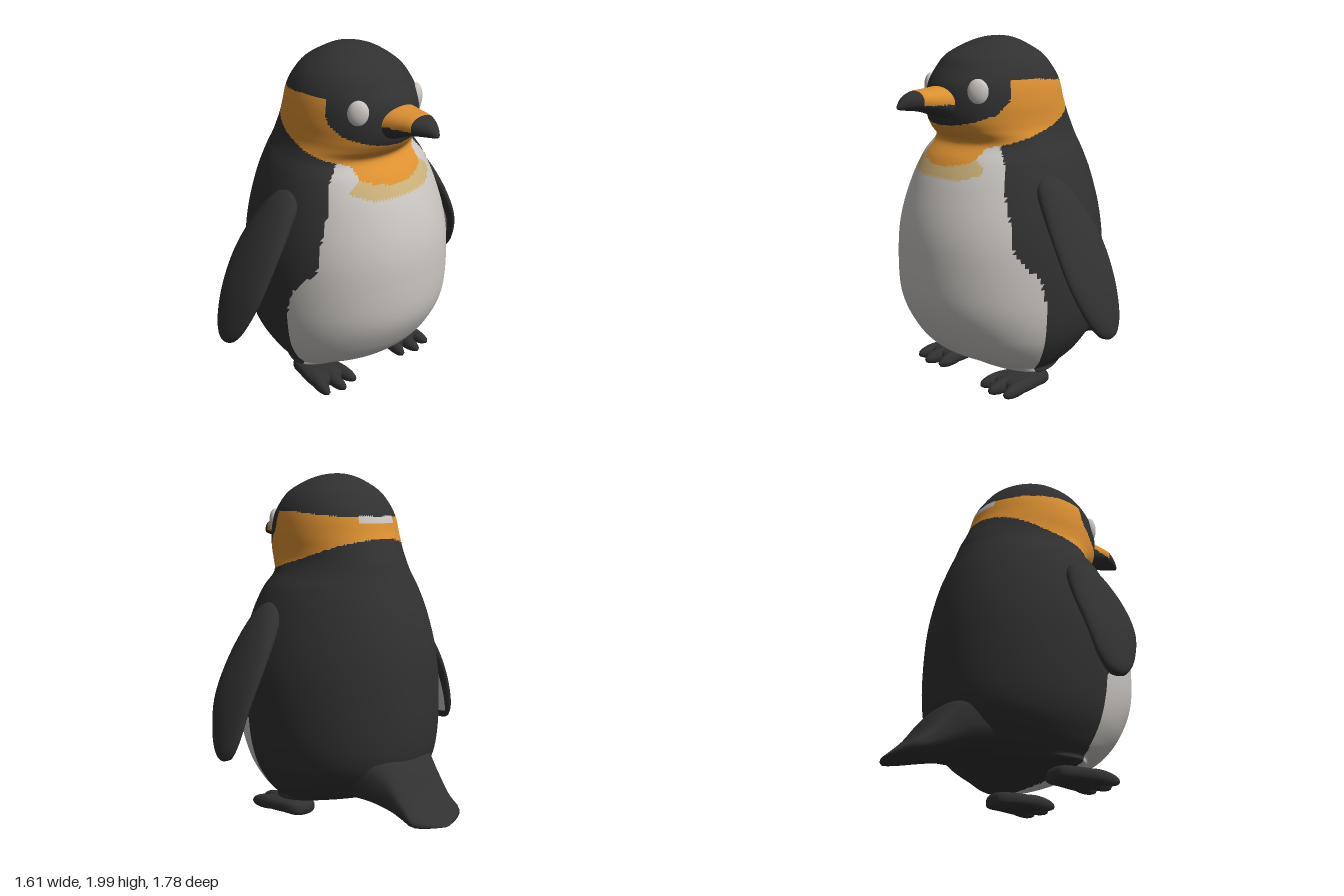
import * as THREE from 'three';

const mat = (name, color) => Object.assign(new THREE.MeshStandardMaterial({ color }), { name });

// Piecewise linear lookup in a short table of [input, output]
function lookup(table, v) {
  if (v <= table[0][0]) return table[0][1];
  for (let i = 1; i < table.length; i++) {
    const [a, p] = table[i - 1], [b, q] = table[i];
    if (v <= b) return p + (q - p) * (v - a) / (b - a);
  }
  return table[table.length - 1][1];
}

// Smoothly resample rows of numbers, `steps` rows between neighbours
function smoothRows(rows, steps) {
  const n = rows[0].length, out = [];
  const curves = Array.from({ length: n }, (_, k) =>
    new THREE.CatmullRomCurve3(rows.map(r => new THREE.Vector3(r[k], 0, 0)), false, 'catmullrom', 0.5));
  const total = (rows.length - 1) * steps;
  for (let i = 0; i <= total; i++) out.push(curves.map(c => c.getPoint(i / total).x));
  return out;
}

// Skin over closed rings; pick(centre, angle) chooses the material of each face
function loft(name, rows, segs, point, materials, pick = () => 0, flip = false) {
  const pos = [], lists = materials.map(() => []);
  rows.forEach((row, j) => {
    for (let i = 0; i < segs; i++) pos.push(...point(row, i / segs * Math.PI * 2, j));
  });
  const at = i => new THREE.Vector3().fromArray(pos, i * 3);
  const face = (a, b, c, angle) => {
    const centre = at(a).add(at(b)).add(at(c)).divideScalar(3);
    lists[pick(centre, angle)].push(...(flip ? [a, c, b] : [a, b, c]));
  };
  for (let j = 0; j < rows.length - 1; j++) {
    for (let i = 0; i < segs; i++) {
      const p = j * segs + i, n = j * segs + (i + 1) % segs;
      const angle = (i + 0.5) / segs * Math.PI * 2;
      face(p, p + segs, n, angle);
      face(n, p + segs, n + segs, angle);
    }
  }
  const g = new THREE.BufferGeometry();
  g.setAttribute('position', new THREE.Float32BufferAttribute(pos, 3));
  g.setIndex(lists.flat());
  let start = 0;
  lists.forEach((l, k) => { g.addGroup(start, l.length, k); start += l.length; });
  g.computeVertexNormals();
  const mesh = new THREE.Mesh(g, materials);
  mesh.name = name;
  return mesh;
}

const power = (v, e) => Math.sign(v) * Math.pow(Math.abs(v), e);

export function createModel() {
  const model = new THREE.Group();
  model.name = 'penguin';
  const black = mat('blackFeathers', 0x313131);
  const white = mat('whiteFeathers', 0xc9c5c1);
  const orange = mat('orangeFeathers', 0xdc9031);
  const cream = mat('creamFeathers', 0xcbb078);

  // Body and head: height, back x, front x, half width
  const bodyRows = smoothRows([
    [0.09, 0.12, 0.12, 0], [0.11, -0.08, 0.28, 0.38], [0.15, -0.27, 0.36, 0.42],
    [0.22, -0.4, 0.49, 0.475], [0.35, -0.5, 0.6, 0.54], [0.54, -0.53, 0.685, 0.575],
    [0.8, -0.525, 0.695, 0.58], [1.0, -0.505, 0.67, 0.555], [1.2, -0.46, 0.6, 0.5],
    [1.34, -0.41, 0.52, 0.445], [1.43, -0.375, 0.44, 0.39], [1.5, -0.35, 0.5, 0.36],
    [1.56, -0.32, 0.535, 0.352], [1.65, -0.28, 0.545, 0.35], [1.75, -0.25, 0.53, 0.335],
    [1.83, -0.2, 0.48, 0.305], [1.9, -0.14, 0.42, 0.25], [1.96, -0.04, 0.29, 0.165],
    [1.99, 0.03, 0.19, 0.08], [2.0, 0.1, 0.1, 0],
  ], 8);
  // Colour borders on the plumage
  const collarTop = [[-0.28, 1.74], [0.1, 1.78], [0.27, 1.78], [0.29, 1.67], [0.36, 1.6], [0.53, 1.53]];
  const collarBottom = [[-0.3, 1.63], [0, 1.52], [0.3, 1.44], [0.38, 1.42], [0.46, 1.35], [0.54, 1.31]];
  const bellyEdge = [[0.1, 0.17], [0.35, 0.22], [0.6, 0.24], [0.73, 0.28], [0.87, 0.41],
    [1.0, 0.41], [1.2, 0.4], [1.3, 0.37], [1.44, 0.33]];
  const plumage = ({ x, y, z }) => {
    const top = lookup(collarTop, x), bottom = lookup(collarBottom, x);
    if (x < -0.2 && Math.abs(z) < 0.13 && Math.abs(y - top + 0.01) < 0.02) return 1;
    if (y > top) return 0;
    if (y > bottom) return 2;
    if (x > 0.45 && y > bottom - 0.06) return 3;
    return x > lookup(bellyEdge, y) ? 1 : 0;
  };
  model.add(loft('body', bodyRows, 160, ([y, back, front, half], a) => {
    const mid = THREE.MathUtils.clamp(0.12, back, front), c = Math.cos(a);
    return [mid + c * (c > 0 ? front - mid : mid - back), y, half * Math.sin(a)];
  }, [black, white, orange, cream], plumage));

  // Tail and beak share sections: x, centre y, half height, half width
  const section = e => ([x, y, h, w], a) =>
    [x, y + h * power(Math.cos(a), e), w * power(Math.sin(a), e)];
  model.add(loft('tail', smoothRows([
    [-0.2, 0.32, 0.17, 0.32], [-0.4, 0.31, 0.17, 0.27], [-0.53, 0.245, 0.135, 0.215],
    [-0.64, 0.16, 0.075, 0.195], [-0.73, 0.11, 0.035, 0.185], [-0.8, 0.082, 0.004, 0.03],
    [-0.8, 0.082, 0, 0],
  ], 3), 32, section(0.7), [black]));
  model.add(loft('beak', smoothRows([
    [0.8, 1.65, 0, 0], [0.79, 1.652, 0.015, 0.015], [0.75, 1.668, 0.038, 0.045],
    [0.68, 1.675, 0.055, 0.085], [0.6, 1.667, 0.07, 0.108], [0.48, 1.645, 0.105, 0.14],
  ], 8), 48, section(0.9), [black, orange],
  ({ x, y }) => (x < 0.68 && y > 1.655 ? 1 : 0)));

  // Flippers: y, z, centre x, half width, half thickness, from tip to shoulder
  const flipperRows = smoothRows([
    [0.43, 0.86, 0.06, 0, 0], [0.45, 0.86, 0.06, 0.06, 0.03], [0.55, 0.835, 0.075, 0.12, 0.04],
    [0.73, 0.775, 0.1, 0.163, 0.045], [0.92, 0.68, 0.11, 0.17, 0.052],
    [1.1, 0.565, 0.125, 0.14, 0.06], [1.22, 0.475, 0.14, 0.09, 0.05], [1.28, 0.43, 0.15, 0, 0],
  ], 6);
  for (const s of [1, -1]) {
    const side = s > 0 ? 'left' : 'right';
    const right = s > 0 ? 'right' : 'left';
    model.add(loft(right + 'Flipper', flipperRows, 36, ([y, z, x, w, t], a, j) => {
      const p = flipperRows[Math.max(j - 1, 0)], q = flipperRows[Math.min(j + 1, flipperRows.length - 1)];
      const n = new THREE.Vector2(q[0] - p[0], p[1] - q[1]).normalize();
      const k = t * Math.sin(a);
      return [x + w * Math.cos(a), y + k * n.y, s * (z + k * n.x)];
    }, [black, white],
    ({ y }, a) => (Math.sin(a) < -0.6 && y > 0.48 && y < 0.98 ? 1 : 0), s < 0));

    // Eyes
    const eye = new THREE.Mesh(new THREE.SphereGeometry(0.07, 24, 16), white);
    eye.name = (s > 0 ? 'right' : 'left') + 'Eye';
    eye.scale.set(0.85, 1.05, 0.5);
    eye.position.set(0.425, 1.72, s * 0.215);
    eye.rotation.y = s * 0.8;
    model.add(eye);

    // Feet: a sloping pad with three splayed toes
    const foot = new THREE.Group();
    foot.name = (side === 'left' ? 'right' : 'left') + 'Foot';
    foot.position.set(0.03, 0, s * 0.305);
    foot.add(loft('footPad', smoothRows([
      [0.31, 0.05, 0, 0], [0.3, 0.05, 0.03, 0.1], [0.24, 0.053, 0.045, 0.125],
      [0.12, 0.055, 0.046, 0.105], [0.02, 0.05, 0.04, 0.075], [0, 0.045, 0, 0],
    ], 3), 24, section(0.7), [black]));
    for (const t of [-1, 0, 1]) {
      const toe = new THREE.Mesh(new THREE.SphereGeometry(1, 16, 10), black);
      toe.name = 'toe';
      toe.scale.set(0.12, 0.043, 0.038);
      toe.position.set(t ? 0.265 : 0.29, 0.052, t * 0.088);
      toe.rotation.set(0, -t * 0.15, -0.1);
      foot.add(toe);
    }
    model.add(foot);
  }
  return model;
}
